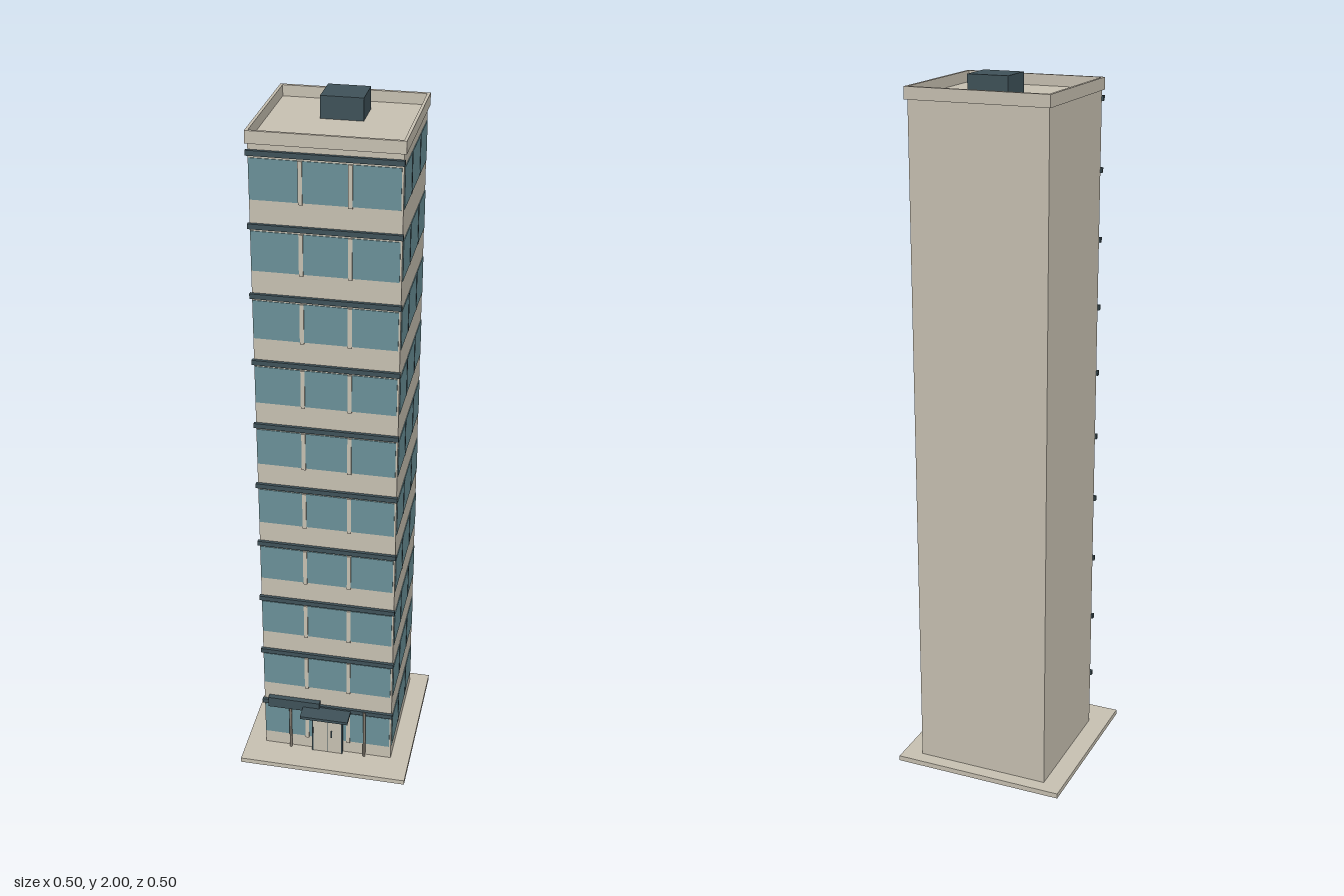
import * as THREE from 'three';

export function createModel() {
  const root = new THREE.Group();
  root.name = 'officeTower';
  const mat = (name, color) => {
    const m = new THREE.MeshStandardMaterial({ color });
    m.name = name;
    return m;
  };
  const wall = mat('beigeConcrete', 0xc8c1b2);
  const glass = mat('blueGlass', 0x6b9199);
  const dark = mat('darkSlate', 0x3f5259);
  const metal = mat('postMetal', 0x80796e);

  // Box given by its lower and upper bounds on each axis
  const box = (parent, name, m, x0, x1, y0, y1, z0, z1) => {
    const mesh = new THREE.Mesh(new THREE.BoxGeometry(x1 - x0, y1 - y0, z1 - z0), m);
    mesh.position.set((x0 + x1) / 2, (y0 + y1) / 2, (z0 + z1) / 2);
    mesh.name = name;
    parent.add(mesh);
    return mesh;
  };

  const X = 0.195, ZB = -0.213, ZF = 0.16;
  const BASE = 0.015, STEP = 0.1925, FLOORS = 10;
  const ROOF = BASE + STEP * FLOORS;

  // Ground slab
  box(root, 'groundSlab', wall, -0.252, 0.252, 0, BASE, -0.252, 0.252);

  // Storeys, with glazing on the front and the left side
  const frontPanes = [[-0.194, -0.069], [-0.058, 0.058], [0.069, 0.19]];
  const sidePanes = [[0.038, 0.152], [-0.089, 0.03], [-0.207, -0.098]];
  for (let i = 0; i < FLOORS; i++) {
    const y = BASE + i * STEP;
    const floor = new THREE.Group();
    floor.name = 'storey' + (i + 1);
    root.add(floor);
    box(floor, 'storeyWalls', wall, -X, X, y, y + STEP, ZB, ZF);

    const w0 = y + 0.044, w1 = y + 0.153;
    for (const [a, b] of frontPanes) box(floor, 'frontWindow', glass, a, b, w0, w1, ZF - 0.001, ZF + 0.002);
    for (const [a, b] of sidePanes) box(floor, 'sideWindow', glass, X - 0.001, X + 0.002, w0, w1, a, b);

    // Mullions and dark window jambs
    for (const s of [-1, 1]) {
      box(floor, 'frontMullion', wall, s * 0.0635 - 0.0055, s * 0.0635 + 0.0055, w0 - 0.004, w1, ZF - 0.001, ZF + 0.005);
    }
    for (const z of [0.04, -0.092]) {
      box(floor, 'sideJamb', dark, X - 0.001, X + 0.003, w0, w1, z - 0.003, z + 0.003);
    }

    // Sun shade above the front windows
    box(floor, 'sunShade', dark, -0.2, 0.198, w1 + 0.007, w1 + 0.021, ZF - 0.001, ZF + 0.009);
  }

  // Parapet ring around the flat roof
  const parapet = new THREE.Group();
  parapet.name = 'parapet';
  root.add(parapet);
  const top = 1.97, ox = 0.201, zb = -0.222, zf = 0.165, t = 0.008;
  box(parapet, 'parapetBack', wall, -ox, ox, ROOF - 0.003, top, zb, zb + t + 0.002);
  box(parapet, 'parapetFront', wall, -ox, ox, ROOF - 0.003, top, zf - t, zf);
  for (const s of [-1, 1]) {
    const a = s * ox, b = s * (ox - t);
    box(parapet, 'parapetSide', wall, Math.min(a, b), Math.max(a, b), ROOF - 0.003, top, zb + t, zf - t);
  }
  box(root, 'roofUnit', dark, -0.057, 0.056, ROOF, 2, -0.15, -0.049);

  // Entrance
  const entrance = new THREE.Group();
  entrance.name = 'entrance';
  root.add(entrance);
  for (const s of [-1, 1]) {
    const a = s * 0.0008, b = s * 0.043;
    box(entrance, 'doorLeaf', wall, Math.min(a, b), Math.max(a, b), BASE, 0.174, ZF, 0.172);
    box(entrance, 'doorFrame', dark, s * 0.045 - 0.002, s * 0.045 + 0.002, BASE, 0.175, ZF, 0.173);
    const post = new THREE.Mesh(new THREE.CylinderGeometry(0.004, 0.004, 0.172, 10), metal);
    post.position.set(s * 0.114, BASE + 0.086, 0.168);
    post.name = 'entrancePost';
    entrance.add(post);
  }
  box(entrance, 'doorGap', dark, -0.0008, 0.0008, BASE, 0.174, ZF, 0.1715);
  box(entrance, 'doorHandle', dark, 0.012, 0.016, 0.075, 0.1, 0.172, 0.176);
  box(entrance, 'canopy', dark, -0.073, 0.072, 0.175, 0.184, ZF, 0.221);
  box(entrance, 'blankSignPanel', dark, -0.18, -0.023, 0.169, 0.203, ZF, 0.176);

  return root;
}
